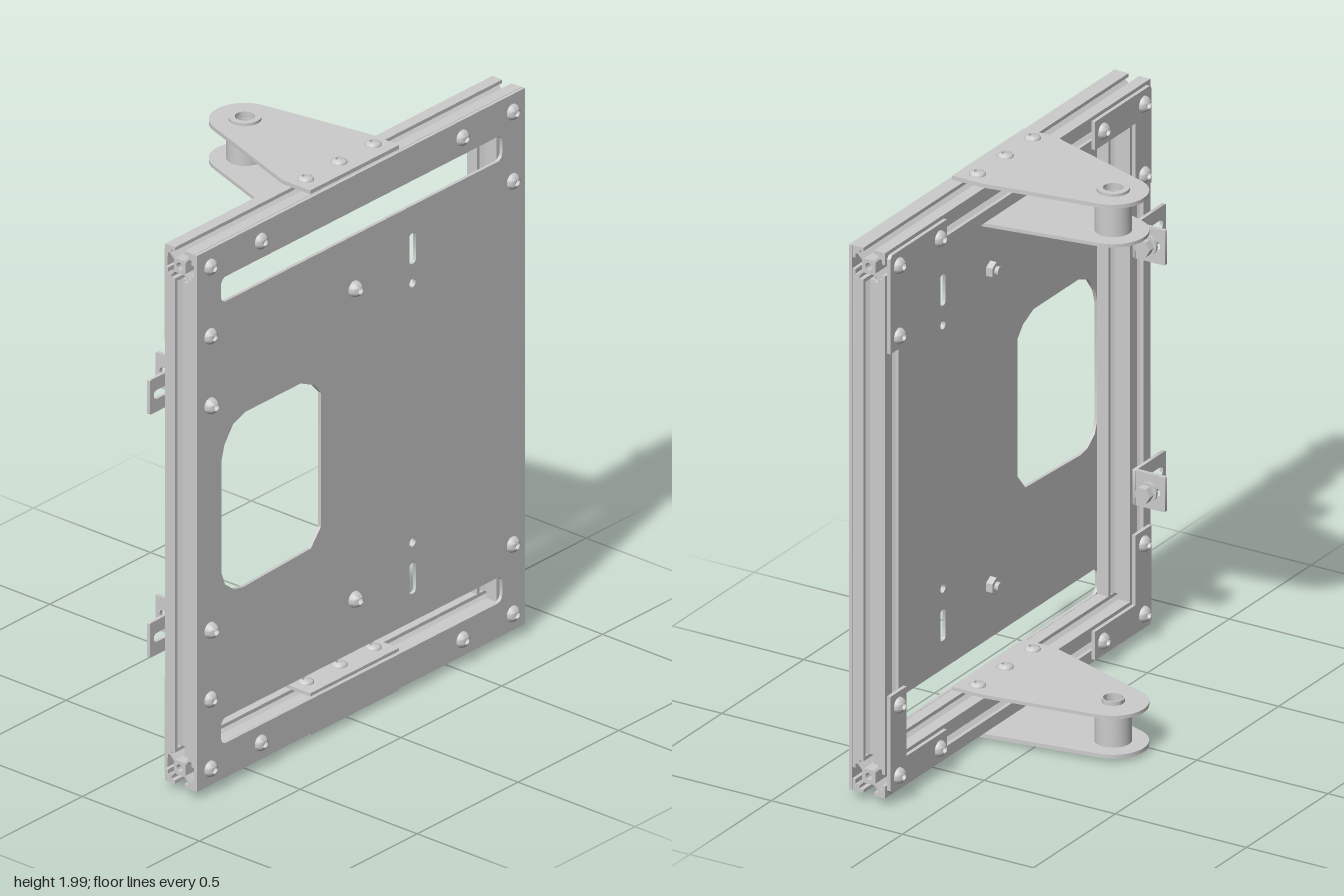
import * as THREE from 'three';
import { toCreasedNormals } from 'three/addons/utils/BufferGeometryUtils.js';

const MID = 1.004; // height of the horizontal mirror plane
const grey = new THREE.MeshStandardMaterial({ color: 0xcccccc });

function add(parent, name, geometry) {
  const mesh = new THREE.Mesh(toCreasedNormals(geometry, 0.6), grey);
  mesh.name = name;
  parent.add(mesh);
  return mesh;
}

function extrude(shape, depth) {
  return new THREE.ExtrudeGeometry(shape, { depth, bevelEnabled: false, curveSegments: 10 });
}

// Rounded rectangle, also used for slots
function roundRect(x0, y0, x1, y1, r, target = new THREE.Path()) {
  target.absarc(x1 - r, y1 - r, r, 0, Math.PI / 2);
  target.absarc(x0 + r, y1 - r, r, Math.PI / 2, Math.PI);
  target.absarc(x0 + r, y0 + r, r, Math.PI, Math.PI * 1.5);
  target.absarc(x1 - r, y0 + r, r, Math.PI * 1.5, Math.PI * 2);
  target.closePath();
  return target;
}

function circle(x, y, r) {
  return new THREE.Path().absarc(x, y, r, 0, Math.PI * 2);
}

const poly = (pts) => pts.map(([x, y]) => new THREE.Vector2(x, y));

// Slotted square rail, extruded along z and centred on its axis
function railGeometry(length) {
  const h = 0.0625;
  const side = [[h, -h], [h, -0.02], [0.05, -0.02], [0.05, -0.036], [0.042, -0.036], [0.025, -0.019],
    [0.025, 0.019], [0.042, 0.036], [0.05, 0.036], [0.05, 0.02], [h, 0.02]];
  const pts = [];
  for (let i = 0; i < 4; i++) {
    const c = Math.round(Math.cos(i * Math.PI / 2)), s = Math.round(Math.sin(i * Math.PI / 2));
    for (const [x, y] of side) pts.push([x * c - y * s, x * s + y * c]);
  }
  const shape = new THREE.Shape(poly(pts));
  shape.holes.push(circle(0, 0, 0.013));
  return extrude(shape, length).translate(0, 0, -length / 2);
}

// Button-head screw with a socket, pointing along dir
const headProfile = poly([[0.028, 0], [0.028, 0.005], [0.024, 0.013], [0.018, 0.019], [0.012, 0.022], [0.011, 0.01], [0, 0.01]]);
function screw(parent, pos, dir, height = 1) {
  const mesh = add(parent, 'screw', new THREE.LatheGeometry(headProfile, 18));
  mesh.position.set(...pos);
  mesh.quaternion.setFromUnitVectors(new THREE.Vector3(0, 1, 0), new THREE.Vector3(...dir));
  mesh.scale.y = height;
}

function tube(parent, name, outer, inner, y0, y1, x, z) {
  const pts = poly([[inner, y0], [outer, y0], [outer, y1], [inner, y1], [inner, y0]]);
  add(parent, name, new THREE.LatheGeometry(pts, 32)).position.set(x, 0, z);
}

// Swing arm pair clamped on the horizontal rail; up is +1 or -1
function hinge(up) {
  const g = new THREE.Group();
  g.name = up > 0 ? 'upperHinge' : 'lowerHinge';
  const s = new THREE.Shape();
  s.moveTo(-0.2, -0.285);
  s.lineTo(0.24, -0.285);
  s.lineTo(0.24, -0.165);
  s.absarc(0.06, 0.218, 0.117, 0.15, Math.PI - 0.35);
  s.lineTo(-0.2, -0.165);
  s.closePath();
  s.holes.push(circle(0.06, 0.218, 0.036));
  const Y = (d) => MID + up * d;
  for (const [lo, hi, out] of [[0.969, 0.983, 1], [0.831, 0.843, -1]]) {
    const geo = extrude(s, hi - lo).rotateX(-Math.PI / 2);
    add(g, 'hingePlate', geo).position.y = Math.min(Y(lo), Y(hi));
    for (const x of [-0.148, 0.018, 0.187])
      screw(g, [x, Y(out > 0 ? hi : lo), 0.22], [0, up * out, 0], 0.6);
  }
  const span = (a, b) => [Math.min(Y(a), Y(b)), Math.max(Y(a), Y(b))];
  tube(g, 'hingeSpacer', 0.061, 0.033, ...span(0.843, 0.969), 0.06, -0.218);
  tube(g, 'bushingFlange', 0.054, 0.033, ...span(0.983, 0.993), 0.06, -0.218);
  tube(g, 'bushingEnd', 0.038, 0.033, ...span(0.817, 0.845), 0.06, -0.218);
  return g;
}

// Angle bracket on the right-hand rail, with a bolt through its fin
function angleBracket(y) {
  const g = new THREE.Group();
  g.name = 'angleBracket';
  const flat = roundRect(-0.85, -0.062, -0.665, 0.062, 0.004, new THREE.Shape());
  flat.holes.push(roundRect(-0.832, -0.016, -0.755, 0.016, 0.015));
  add(g, 'bracketBase', extrude(flat, 0.013)).position.z = 0.148;
  const fin = roundRect(-0.16, -0.062, -0.037, 0.062, 0.004, new THREE.Shape());
  fin.holes.push(roundRect(-0.125, -0.016, -0.055, 0.016, 0.015));
  add(g, 'bracketFin', extrude(fin, 0.014).rotateY(Math.PI / 2)).position.x = -0.68;
  screw(g, [-0.715, 0, 0.148], [0, 0, -1]);
  const parts = [['washer', 0.034, 0.01, 20, -0.661], ['bolt', 0.014, 0.075, 14, -0.668], ['boltHead', 0.03, 0.026, 6, -0.636]];
  for (const [name, r, len, n, x] of parts)
    add(g, name, new THREE.CylinderGeometry(r, r, len, n).rotateZ(Math.PI / 2)).position.set(x, 0, 0.098);
  g.position.y = y;
  return g;
}

export function createModel() {
  const model = new THREE.Group();

  // Frame of slotted rails
  const frame = new THREE.Group();
  frame.name = 'frame';
  model.add(frame);
  for (const up of [1, -1])
    add(frame, 'horizontalRail', railGeometry(1.623).rotateY(Math.PI / 2)).position.set(0.0335, MID + up * 0.905, 0.225);
  for (const x of [-0.7155, 0.7825])
    add(frame, 'verticalRail', railGeometry(1.685).rotateX(Math.PI / 2)).position.set(x, MID, 0.225);

  // Front panel with windows and slots
  const panel = new THREE.Shape(poly([[-0.78, 0.038], [0.847, 0.038], [0.847, 1.971], [-0.78, 1.971]]));
  panel.holes.push(
    roundRect(-0.66, 1.755, 0.735, 1.845, 0.025),
    roundRect(-0.66, 0.162, 0.735, 0.255, 0.025),
    new THREE.Path(poly([[-0.657, 0.78], [-0.64, 0.735], [-0.595, 0.7], [-0.55, 0.692], [-0.215, 0.706], [-0.165, 0.765],
      [-0.165, 1.25], [-0.2, 1.29], [-0.265, 1.32], [-0.54, 1.32], [-0.6, 1.298], [-0.643, 1.24], [-0.657, 1.19]])),
    roundRect(0.274, 1.545, 0.306, 1.655, 0.012),
    roundRect(0.274, 0.355, 0.306, 0.465, 0.012),
    circle(0.29, 1.475, 0.015),
    circle(0.29, 0.54, 0.015));
  add(model, 'frontPanel', extrude(panel, 0.012)).position.z = 0.288;

  // Corner plates, screws and brackets, mirrored top to bottom
  for (const up of [1, -1]) {
    const Y = (d) => MID + up * d;
    for (const [cx, sx] of [[-0.715, 1], [0.785, -1]]) {
      const a = 0.05, b = 0.297;
      const outline = [[-a, -a + 0.012], [-a + 0.012, -a], [b, -a], [b, a], [a, a], [a, b], [-a, b]];
      const pts = outline.map(([u, v]) => [cx + sx * u, Y(0.905 - v)]);
      add(model, 'cornerPlate', extrude(new THREE.Shape(poly(pts)), 0.013)).position.z = 0.149;
      for (const [u, v] of [[0, 0], [0.25, 0], [0, 0.25]]) {
        screw(model, [cx + sx * u, Y(0.905 - v), 0.3], [0, 0, 1]);
        screw(model, [cx + sx * u, Y(0.905 - v), 0.149], [0, 0, -1]);
      }
    }
    screw(model, [-0.715, Y(0.405), 0.3], [0, 0, 1], 1.3);
    // Panel bolt with nut behind
    screw(model, [0, Y(0.56), 0.3], [0, 0, 1], 1.3);
    add(model, 'nut', new THREE.CylinderGeometry(0.03, 0.03, 0.024, 6).rotateX(Math.PI / 2)).position.set(0, Y(0.56), 0.276);
    add(model, 'boltEnd', new THREE.CylinderGeometry(0.015, 0.015, 0.04, 14).rotateX(Math.PI / 2)).position.set(0, Y(0.56), 0.27);
    model.add(angleBracket(Y(0.438)), hinge(up));
  }
  return model;
}
